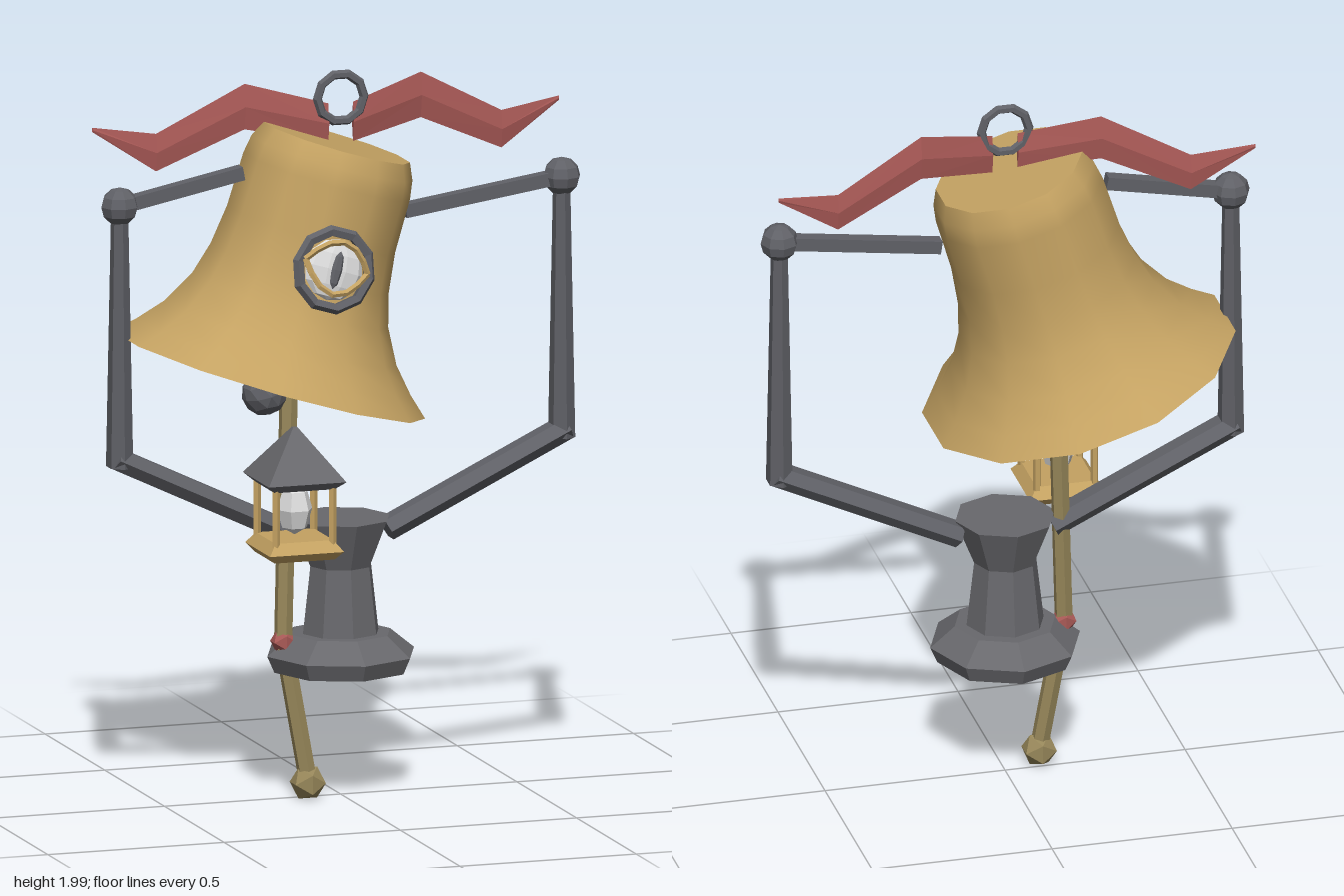
import * as THREE from 'three';

const mat = (name, color, opts = {}) => {
  const m = new THREE.MeshStandardMaterial({ color, ...opts });
  m.name = name;
  return m;
};

export function createModel() {
  const root = new THREE.Group();
  root.name = 'hangingBell';
  const gold = mat('brass', 0xc4a262, { side: THREE.DoubleSide });
  const goldFlat = mat('brassTrim', 0xc4a262, { flatShading: true });
  const iron = mat('iron', 0x68686c, { flatShading: true });
  const steel = mat('darkSteel', 0x606167, { flatShading: true });
  const red = mat('redCloth', 0xaa5a57, { flatShading: true, side: THREE.DoubleSide });
  const wood = mat('rope', 0x97875a, { flatShading: true });
  const pale = mat('paleGlass', 0xdcdcdc, { flatShading: true });
  const V = (x, y, z = 0) => new THREE.Vector3(x, y, z);
  const P = (list) => list.map(([x, y]) => new THREE.Vector2(x, y));

  const add = (parent, name, geo, material, x = 0, y = 0, z = 0) => {
    const m = new THREE.Mesh(geo, material);
    m.name = name;
    m.position.set(x, y, z);
    parent.add(m);
    return m;
  };
  // tapered bar from a to b; squash narrows it across the z axis
  const bar = (parent, name, a, b, ra, rb, material, sides = 6, squash = 1) => {
    const geo = new THREE.CylinderGeometry(rb, ra, a.distanceTo(b), sides);
    geo.scale(squash, 1, 1);
    const m = add(parent, name, geo, material);
    m.position.copy(a).add(b).multiplyScalar(0.5);
    m.quaternion.setFromUnitVectors(V(0, 1), b.clone().sub(a).normalize());
    return m;
  };

  // Tilted bell, its origin at the centre of the rim
  const bell = new THREE.Group();
  bell.name = 'bell';
  bell.position.set(-0.205, 1.175, 0);
  bell.rotation.z = -0.3;
  root.add(bell);
  const wall = P([[0.44, 0], [0.385, 0.05], [0.325, 0.118], [0.275, 0.21], [0.25, 0.3],
    [0.236, 0.41], [0.234, 0.56], [0.226, 0.61], [0.206, 0.655]]);
  add(bell, 'bellWall', new THREE.LatheGeometry(wall, 12, Math.PI / 12), gold);
  add(bell, 'bellCap', new THREE.CircleGeometry(0.206, 12, Math.PI / 12), gold, 0, 0.655, 0)
    .rotation.x = -Math.PI / 2;
  add(bell, 'clapper', new THREE.IcosahedronGeometry(0.062, 1), steel, 0, -0.05, 0.01);
  bar(bell, 'clapperRod', V(0, -0.04, 0.01), V(0, 0.65, 0), 0.012, 0.012, steel);

  // Eye medallion on the bell front
  const eye = new THREE.Group();
  eye.name = 'eye';
  eye.position.set(0, 0.345, 0.247);
  eye.rotation.x = -0.15;
  bell.add(eye);
  add(eye, 'eyeFrame', new THREE.TorusGeometry(0.105, 0.016, 5, 10), steel);
  const ball = add(eye, 'eyeball', new THREE.SphereGeometry(0.084, 10, 6), pale);
  ball.scale.z = 0.3;
  const pupil = add(eye, 'pupil', new THREE.SphereGeometry(0.05, 6, 4), steel, 0, 0, 0.023);
  pupil.scale.set(0.32, 1.05, 0.2);
  for (const s of [1, -1]) {
    const lid = new THREE.QuadraticBezierCurve3(V(-0.092, 0.01, 0.012), V(0, s * 0.145, 0.05), V(0.092, 0.01, 0.012));
    add(eye, s > 0 ? 'upperLid' : 'lowerLid', new THREE.TubeGeometry(lid, 6, 0.009, 5), goldFlat);
  }

  // Hanging ring
  add(root, 'topRing', new THREE.TorusGeometry(0.066, 0.013, 6, 10), steel, 0, 1.922, 0);

  // Pedestal: wide foot and flared column
  add(root, 'pedestal', new THREE.LatheGeometry(P([[0, 0.355], [0.188, 0.355], [0.208, 0.4], [0.14, 0.456],
    [0.107, 0.456], [0.086, 0.64], [0.138, 0.77], [0, 0.77]]), 8), iron);

  // Side frame and ribbon, once per side
  for (const s of [1, -1]) {
    const side = s > 0 ? 'left' : 'right';
    const elbow = V(s * 0.627, 0.97), top = V(s * 0.627, 1.665);
    bar(root, side + 'LowerArm', V(s * 0.13, 0.73), V(s * 0.64, 0.975), 0.047, 0.047, steel, 6, 0.72);
    bar(root, side + 'Post', elbow.clone().setY(0.95), top, 0.045, 0.028, steel, 6, 0.8);
    add(root, side + 'Knob', new THREE.SphereGeometry(0.052, 8, 6), steel, top.x, top.y, 0);
    bar(root, side + 'Pivot', top, s > 0 ? V(0.18, 1.6) : V(-0.28, 1.735), 0.026, 0.026, steel, 4)
      .rotateY(Math.PI / 4);

    // ribbon cross-sections: x, upper y, lower y, z, half thickness
    const cuts = [[0.035, 1.908, 1.8, 0, 0.009], [0.25, 1.963, 1.838, -0.066, 0.009],
      [0.49, 1.835, 1.732, -0.1, 0.008], [0.662, 1.858, 1.846, -0.126, 0.002]];
    const pos = [], idx = [];
    cuts.forEach(([x, u, l, z, t], i) => {
      const mid = (u + l) / 2;
      pos.push(s * x, u, z, s * x, mid, z + t, s * x, l, z, s * x, mid, z - t);
      if (i === 0) return;
      for (let k = 0; k < 4; k++) {
        const a = (i - 1) * 4 + k, b = (i - 1) * 4 + (k + 1) % 4;
        if (s > 0) idx.push(a, b, a + 4, b, b + 4, a + 4);
        else idx.push(a, a + 4, b, b, a + 4, b + 4);
      }
    });
    idx.push(0, 2, 1, 0, 3, 2);
    const ribbon = new THREE.BufferGeometry();
    ribbon.setAttribute('position', new THREE.Float32BufferAttribute(pos, 3));
    ribbon.setIndex(idx);
    ribbon.computeVertexNormals();
    add(root, side + 'Ribbon', ribbon, red);
  }

  // Pull rope with a red knot and an end bead
  const knot = V(-0.163, 0.44, 0), end = V(-0.1, 0.06, 0.02);
  bar(root, 'ropeUpper', knot, V(-0.125, 1.5, -0.04), 0.025, 0.025, wood);
  bar(root, 'ropeLower', end, knot, 0.025, 0.025, wood);
  add(root, 'ropeKnot', new THREE.IcosahedronGeometry(0.036, 0), red, knot.x, knot.y, knot.z);
  add(root, 'ropeBead', new THREE.IcosahedronGeometry(0.05, 0), wood, end.x, 0.052, end.z);

  // Lantern
  const lantern = new THREE.Group();
  lantern.name = 'lantern';
  lantern.position.set(-0.205, 0, 0.22);
  root.add(lantern);
  // square tapered block given by half widths
  const block = (name, low, high, y0, y1, material) => {
    const r = Math.SQRT2;
    const geo = new THREE.CylinderGeometry(high * r, low * r, y1 - y0, 4);
    geo.rotateY(Math.PI / 4);
    add(lantern, name, geo, material, 0, (y0 + y1) / 2, 0);
  };
  block('lanternFoot', 0.085, 0.105, 0.722, 0.745, goldFlat);
  block('lanternTray', 0.105, 0.082, 0.745, 0.775, goldFlat);
  block('lanternEave', 0.085, 0.11, 0.915, 0.937, iron);
  block('lanternRoof', 0.11, 0.006, 0.937, 1.075, iron);
  for (const x of [-0.08, 0.08]) for (const z of [-0.08, 0.08])
    bar(lantern, 'lanternPost', V(x, 0.765, z), V(x, 0.925, z), 0.011, 0.011, goldFlat, 5);
  add(lantern, 'lanternLight', new THREE.SphereGeometry(0.05, 6, 4), pale, 0, 0.85, 0).scale.y = 1.4;

  return root;
}
